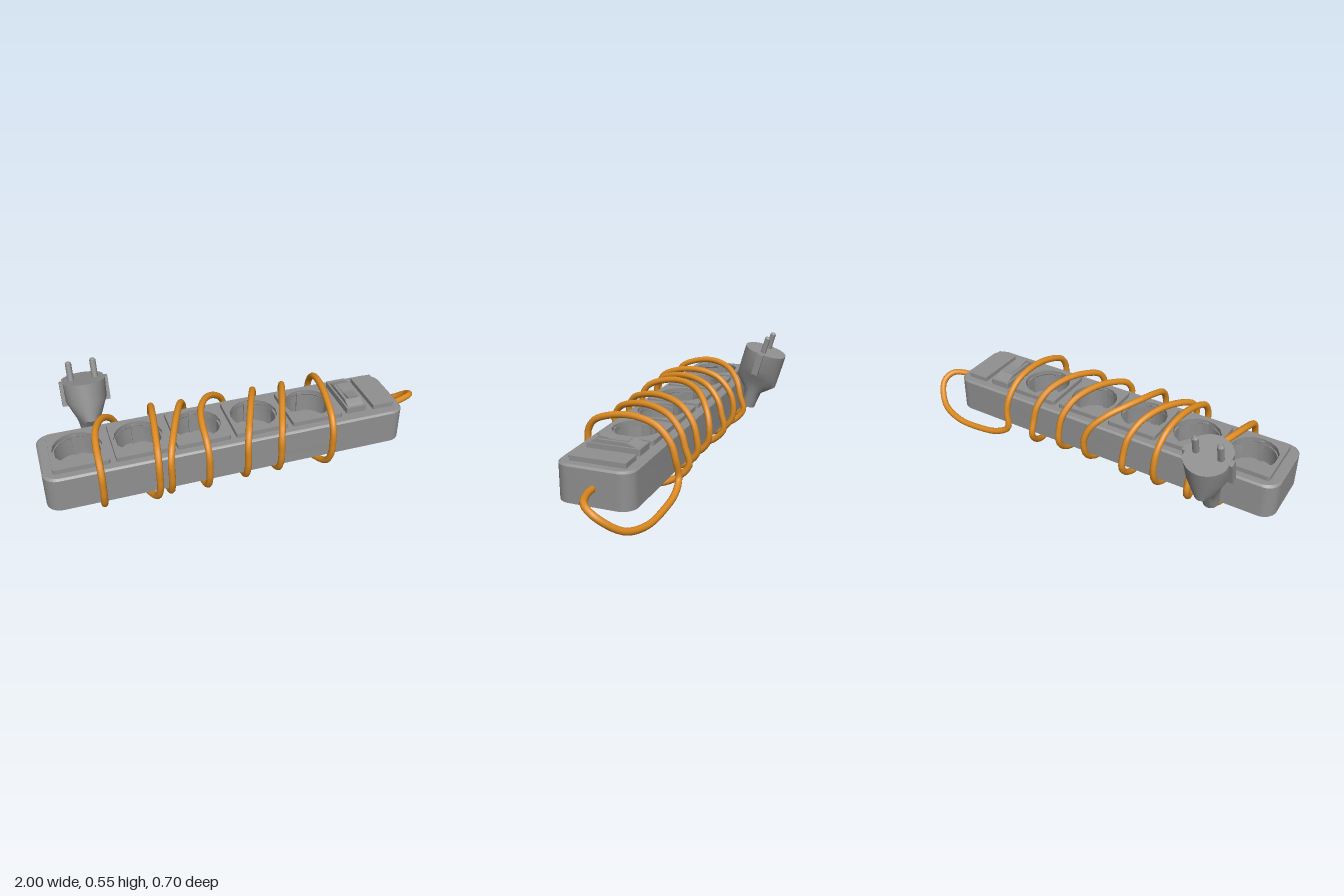
import * as THREE from 'three';
import { toCreasedNormals } from 'three/addons/utils/BufferGeometryUtils.js';

const grey = new THREE.MeshStandardMaterial({ color: 0x909090 });
const orange = new THREE.MeshStandardMaterial({ color: 0xdc8a20 });
const MID_Z = 0.09;
const SOCKET_X = [-0.82, -0.53, -0.24, 0.05, 0.34];

function add(parent, name, geometry, material = grey) {
  const mesh = new THREE.Mesh(geometry, material);
  mesh.name = name;
  parent.add(mesh);
  return mesh;
}

// Rounded rectangle in plan, centred on (x, z)
function plan(x, z, w, d, r) {
  const s = new THREE.Shape();
  const a = x - w / 2, b = x + w / 2, c = -z - d / 2, e = -z + d / 2;
  s.moveTo(a + r, c);
  s.lineTo(b - r, c);
  s.absarc(b - r, c + r, r, -Math.PI / 2, 0);
  s.lineTo(b, e - r);
  s.absarc(b - r, e - r, r, 0, Math.PI / 2);
  s.lineTo(a + r, e);
  s.absarc(a + r, e - r, r, Math.PI / 2, Math.PI);
  s.lineTo(a, c + r);
  s.absarc(a + r, c + r, r, Math.PI, Math.PI * 1.5);
  return s;
}

const hole = (x, z, r) => new THREE.Path().absarc(x, -z, r, 0, Math.PI * 2, true);

// Upright slab from y0 to y1 with holes through it
function slab(shape, y0, y1, holes = [], steps = 1) {
  shape.holes = holes;
  const g = new THREE.ExtrudeGeometry(shape, { depth: y1 - y0, steps, bevelEnabled: false, curveSegments: 8 });
  g.rotateX(-Math.PI / 2);
  g.translate(0, y0, 0);
  return g;
}

function buildBody(group) {
  const outline = () => plan(-0.1, MID_Z, 1.8, 0.368, 0.07);
  add(group, 'bodyBase', toCreasedNormals(slab(outline(), 0.095, 0.17), 0.6));

  // Upper shell: the last step is squeezed into a narrow chamfer
  const shell = slab(outline(), 0.17, 0.274, SOCKET_X.map(x => hole(x, MID_Z, 0.12)), 2);
  const p = shell.attributes.position;
  for (let i = 0; i < p.count; i++) {
    const y = p.getY(i);
    if (y > 0.26) {
      p.setX(i, -0.1 + (p.getX(i) + 0.1) * 0.99);
      p.setZ(i, MID_Z + (p.getZ(i) - MID_Z) * 0.95);
    } else if (y > 0.18) p.setY(i, 0.265);
  }
  add(group, 'bodyShell', toCreasedNormals(shell, 0.4));
}

function buildSocket(group, x) {
  const socket = new THREE.Group();
  socket.name = 'socket';
  group.add(socket);
  add(socket, 'socketPlate', toCreasedNormals(
    slab(plan(x, MID_Z, 0.262, 0.283, 0.012), 0.262, 0.297, [hole(x, MID_Z, 0.117)]), 0.6));
  for (const s of [-1, 1]) {
    add(socket, 'earthClip', new THREE.BoxGeometry(0.025, 0.115, 0.012)).position.set(x, 0.228, MID_Z + s * 0.114);
    add(socket, 'guideRib', new THREE.BoxGeometry(0.014, 0.11, 0.05)).position.set(x + s * 0.113, 0.225, MID_Z);
  }
}

// Side profile given as (z, y) points, extruded along x
function profileX(points, x, w) {
  const g = new THREE.ExtrudeGeometry(new THREE.Shape(points.map(([z, y]) => new THREE.Vector2(-z, y))),
    { depth: w, bevelEnabled: false });
  g.rotateY(Math.PI / 2);
  g.translate(x - w / 2, 0, 0);
  return g;
}

function buildSwitch(group) {
  const x = 0.555;
  add(group, 'switchPlate', slab(plan(x, 0.083, 0.105, 0.262, 0.004), 0.262, 0.305));
  add(group, 'switchFrame', profileX([[0.21, 0.3], [0.19, 0.31], [0.16, 0.323], [0.02, 0.323], [-0.03, 0.305], [-0.03, 0.3]], x, 0.085));
  add(group, 'switchRocker', profileX([[0.16, 0.31], [0.16, 0.337], [0.095, 0.326], [0.02, 0.326], [0.015, 0.31]], x, 0.055));
  add(group, 'endPlate', slab(plan(0.7, 0.085, 0.11, 0.27, 0.004), 0.262, 0.297));
}

function buildPlug(group) {
  const plug = new THREE.Group();
  plug.name = 'plug';
  plug.position.set(-0.722, 0.121, -0.142);
  plug.rotation.x = -0.28;
  group.add(plug);

  // Rows: height, depth radius, width radius
  const rows = [[0, 0.038, 0.038], [0.05, 0.043, 0.043], [0.098, 0.05, 0.048], [0.13, 0.085, 0.053],
    [0.16, 0.117, 0.062], [0.2, 0.117, 0.08], [0.25, 0.117, 0.102], [0.35, 0.117, 0.112]];
  const profile = [[0, 0], ...rows, [0.35, 0]].map(([y, r]) => new THREE.Vector2(r, y));
  const g = new THREE.LatheGeometry(profile, 32);
  const p = g.attributes.position;
  for (let i = 0; i < p.count; i++) {
    const row = rows.find(r => Math.abs(r[0] - p.getY(i)) < 1e-4);
    // Squeeze the width, then flatten the two sides
    p.setX(i, THREE.MathUtils.clamp(p.getX(i) * row[2] / row[1], -0.102, 0.102));
  }
  add(plug, 'plugBody', toCreasedNormals(g, 0.6));

  for (const s of [-1, 1]) {
    add(plug, 'plugClip', new THREE.BoxGeometry(0.03, 0.12, 0.035)).position.set(s * 0.103, 0.288, 0);
    const pin = [[0, 0], [0.0155, 0], [0.0155, 0.099], [0.009, 0.106], [0, 0.106]].map(([r, y]) => new THREE.Vector2(r, y));
    add(plug, 'plugPin', toCreasedNormals(new THREE.LatheGeometry(pin, 14), 0.6)).position.set(s * 0.059, 0.338, 0);
  }
}

function buildCable(group) {
  // One turn in section as (z, y): over the top to the back, then under to the front
  const over = [[0.323, 0.2], [0.32, 0.27], [0.285, 0.325], [0.19, 0.365], [0.09, 0.38],
    [0, 0.37], [-0.06, 0.345], [-0.12, 0.28], [-0.142, 0.21]];
  const under = [[-0.148, 0.13], [-0.11, 0.075], [-0.02, 0.027], [0.1, 0.021], [0.2, 0.034], [0.285, 0.073], [0.318, 0.14]];
  // Per turn: x at the front, x at the back, how late the cable bends across the top, tightness
  const turns = [[-0.745, -0.6, 3, 0.94], [-0.485, -0.42, 1, 1.01], [-0.425, -0.25, 1, 0.96], [-0.245, -0.03, 3, 1],
    [-0.05, 0.125, 1, 0.95], [0.12, 0.28, 1, 0.95], [0.38, 0.44, 1, 1.02]];
  const pts = [new THREE.Vector3(-0.722, 0.15, -0.15)];
  let back = -0.722;
  turns.forEach(([front, nextBack, bend, k]) => {
    const put = (x, [z, y]) => pts.push(new THREE.Vector3(x, 0.2 + (y - 0.2) * k, MID_Z + (z - MID_Z) * k));
    const toBack = z => THREE.MathUtils.clamp((0.32 - z) / 0.46, 0, 1);
    under.forEach(q => put(THREE.MathUtils.lerp(front, back, toBack(q[0])), q));
    over.forEach(q => put(THREE.MathUtils.lerp(front, nextBack, toBack(q[0]) ** bend), q));
    back = nextBack;
  });
  // Loose loop back into the end of the body
  [[0.43, 0.12, -0.158], [0.5, 0.075, -0.168], [0.62, 0.05, -0.165], [0.78, 0.042, -0.15], [0.91, 0.072, -0.105],
    [0.98, 0.15, -0.02], [0.96, 0.183, 0.04], [0.88, 0.186, 0.075], [0.78, 0.178, 0.09]]
    .forEach(q => pts.push(new THREE.Vector3(...q)));
  const curve = new THREE.CatmullRomCurve3(pts, false, 'centripetal');
  curve.arcLengthDivisions = 1500;
  add(group, 'cable', new THREE.TubeGeometry(curve, 420, 0.0165, 10), orange);
}

export function createModel() {
  const group = new THREE.Group();
  group.name = 'powerStrip';
  buildBody(group);
  SOCKET_X.forEach(x => buildSocket(group, x));
  buildSwitch(group);
  buildPlug(group);
  buildCable(group);
  return group;
}
